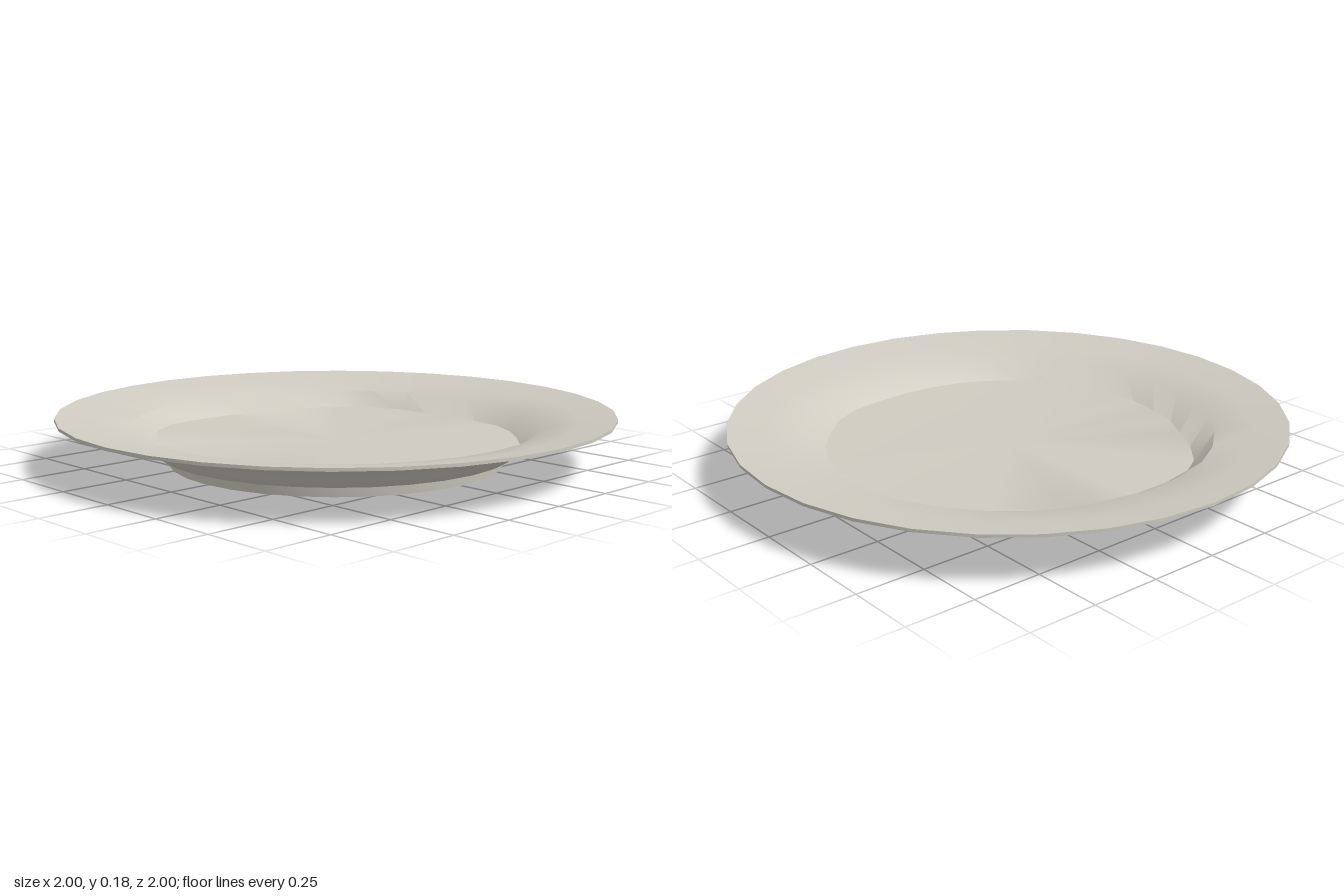
import * as THREE from 'three';
import { toCreasedNormals } from 'three/addons/utils/BufferGeometryUtils.js';

const SEGMENTS = 32;

// Corners (x, z) of the roughly faceted floor, in order round the plate
const FLOOR = [
  [0.05, 0.645], [0.4, 0.5], [0.5, 0.42], [0.62, 0.2], [0.64, -0.05], [0.6, -0.32], [0.4, -0.53], [0.21, -0.63],
  [-0.31, -0.61], [-0.4, -0.55], [-0.54, -0.38], [-0.65, 0.05], [-0.63, 0.26], [-0.54, 0.42], [-0.21, 0.61],
];

// Distance from the centre to the floor's edge in direction (dx, dz)
function floorRadius(dx, dz) {
  for (let i = 0; i < FLOOR.length; i++) {
    const [ax, az] = FLOOR[i];
    const [bx, bz] = FLOOR[(i + 1) % FLOOR.length];
    const ex = bx - ax, ez = bz - az;
    const det = dx * ez - dz * ex;
    if (Math.abs(det) < 1e-9) continue;
    const t = (ax * ez - az * ex) / det;
    const s = (ax * dz - az * dx) / det;
    if (t > 0 && s >= -1e-6 && s <= 1 + 1e-6) return t;
  }
  return 0.63;
}

function turned(name, profile, material, shape) {
  const geometry = new THREE.LatheGeometry(profile.map(([r, y]) => new THREE.Vector2(r, y)), SEGMENTS);
  if (shape) shape(geometry.attributes.position);
  const mesh = new THREE.Mesh(toCreasedNormals(geometry, 0.5), material);
  mesh.name = name;
  return mesh;
}

export function createModel() {
  const plate = new THREE.Group();
  plate.name = 'plate';
  const ceramic = new THREE.MeshStandardMaterial({ color: 0xcfcbc1 });
  ceramic.name = 'warm grey ceramic';

  // Recessed base and foot ring
  plate.add(turned('footRing', [[0, 0.02], [0.56, 0.02], [0.575, 0], [0.605, 0.002], [0.61, 0.035]], ceramic));

  // Flared underside and thin outer lip
  plate.add(turned('underside',
    [[0.61, 0.035], [0.645, 0.042], [0.69, 0.075], [0.75, 0.12], [0.88, 0.146], [1, 0.172], [1, 0.183]], ceramic));

  // Dished top: rim, wall of the well and faceted floor
  plate.add(turned('topSurface',
    [[1, 0.183], [0.87, 0.162], [0.74, 0.138], [0.63, 0.08], [0, 0.074]], ceramic, (position) => {
      for (let i = 0; i < position.count; i++) {
        const x = position.getX(i), z = position.getZ(i), r = Math.hypot(x, z);
        if (Math.abs(r - 0.63) > 0.01) continue;
        const edge = floorRadius(x / r, z / r);
        position.setX(i, x / r * edge);
        position.setZ(i, z / r * edge);
      }
    }));

  return plate;
}
